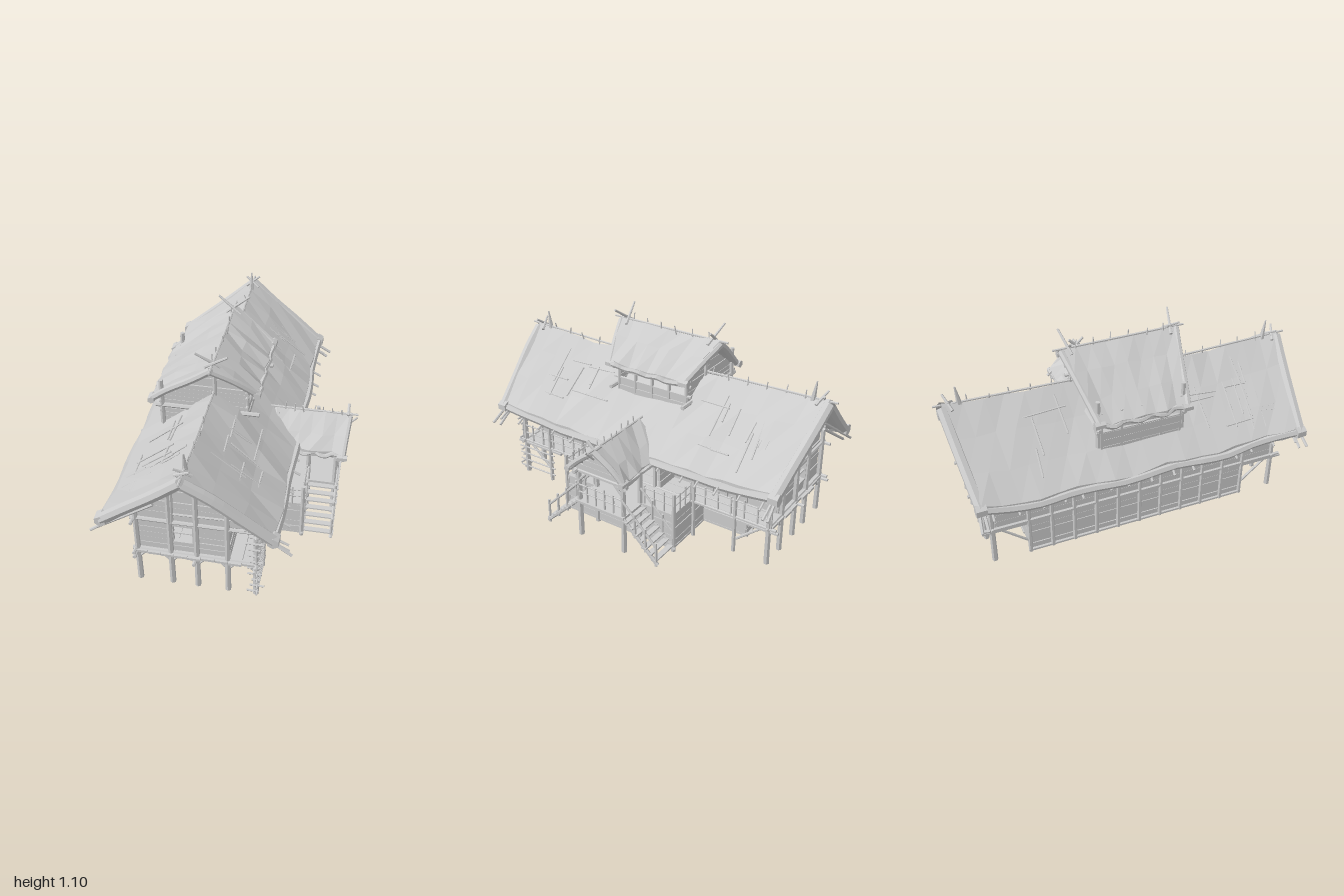
import * as THREE from 'three';

const mat = new THREE.MeshStandardMaterial({ color: 0xcccccc, flatShading: true });
const thatchMat = new THREE.MeshStandardMaterial({ color: 0xcccccc, flatShading: true, side: THREE.DoubleSide });
const V = (x, y, z) => new THREE.Vector3(x, y, z);
let seed = 7;
const rnd = () => (seed = (seed * 16807) % 2147483647) / 2147483647;
const jit = (a) => (rnd() * 2 - 1) * a;

function group(name, parent) {
  const g = new THREE.Group();
  g.name = name;
  parent.add(g);
  return g;
}
function add(parent, name, geo, m = mat) {
  const mesh = new THREE.Mesh(geo, m);
  mesh.name = name;
  parent.add(mesh);
  return mesh;
}
// Box given by its min and max along each axis
function box(p, name, x0, x1, y0, y1, z0, z1) {
  const b = add(p, name, new THREE.BoxGeometry(x1 - x0, y1 - y0, z1 - z0));
  b.position.set((x0 + x1) / 2, (y0 + y1) / 2, (z0 + z1) / 2);
}
// Rough six-sided pole between two points
function pole(p, name, a, b, r, rEnd = r * 0.9) {
  const d = b.clone().sub(a);
  const s = add(p, name, new THREE.CylinderGeometry(rEnd, r, d.length(), 6));
  s.position.copy(a).add(b).multiplyScalar(0.5);
  s.quaternion.setFromUnitVectors(V(0, 1, 0), d.normalize());
}
// Height of a roof profile at x, and the x-span of the profile at height y
function roofY(prof, x) {
  for (let i = 1; i < prof.length; i++) if (x <= prof[i][0] || i === prof.length - 1) {
    const [a, b] = [prof[i - 1], prof[i]];
    return a[1] + (b[1] - a[1]) * (x - a[0]) / (b[0] - a[0]);
  }
}
function spanAt(prof, y) {
  const xs = [];
  for (let x = prof[0][0]; x <= prof[prof.length - 1][0]; x += 0.004) if (roofY(prof, x) > y) xs.push(x);
  return xs.length > 2 ? [xs[0], xs[xs.length - 1]] : null;
}
// Horizontal planks; axis is the direction they run in, hole = [u0, u1, y0, y1], prof clips a gable
function planks(p, name, axis, at, u0, u1, y0, y1, { hole, prof, row = 0.044 } = {}) {
  const g = group(name, p), n = Math.max(1, Math.round((y1 - y0) / row)), h = (y1 - y0) / n;
  for (let k = 0; k < n; k++) {
    const yb = y0 + k * h, ym = yb + h / 2;
    let [a, b] = [u0, u1];
    if (prof) {
      const s = spanAt(prof, ym);
      if (!s) break;
      a = Math.max(a, s[0]); b = Math.min(b, s[1]);
    }
    const runs = hole && ym > hole[2] && ym < hole[3] ? [[a, hole[0]], [hole[1], b]] : [[a, b]];
    for (const [s, e] of runs) {
      const c = at + jit(0.003), args = [yb, yb + h - 0.002];
      if (axis === 'x') box(g, 'plank', s, e, ...args, c - 0.008, c + 0.008);
      else box(g, 'plank', c - 0.008, c + 0.008, ...args, s, e);
    }
  }
}
// Sagging thatch slab with rolled edges; ridge runs along z
function thatch(p, name, prof, ridgeHalf, eaveHalf, rise, thick, roll, { n = 14, horn = 0, pegs = 8 }) {
  const g = group(name, p), m = prof.length, top = Math.max(...prof.map((q) => q[1]));
  const r = prof.findIndex((q) => q[1] === top), xr = prof[r][0];
  const at = (i, t, wob = 0) => {
    const [x, y] = prof[i], far = i < r ? xr - prof[0][0] : prof[m - 1][0] - xr, e = Math.abs(x - xr) / far;
    const wave = e * Math.sin(t * 11 + i) * 0.007;
    return V(x + wave + jit(wob), y + rise * t ** 4 + wave + jit(wob), t * (ridgeHalf + (eaveHalf - ridgeHalf) * e));
  };
  const pos = [], idx = [], N = m * (n + 1), id = (i, j) => i * (n + 1) + j;
  for (let i = 0; i < m; i++) for (let j = 0; j <= n; j++) pos.push(...at(i, j / n * 2 - 1, 0.007));
  for (let k = 0; k < N; k++) pos.push(pos[3 * k], pos[3 * k + 1] - thick, pos[3 * k + 2]);
  const quad = (a, b, c, d) => idx.push(a, b, c, a, c, d);
  for (let i = 0; i < m - 1; i++) {
    for (let j = 0; j < n; j++) {
      const [a, b, c, d] = [id(i, j), id(i, j + 1), id(i + 1, j + 1), id(i + 1, j)];
      quad(a, b, c, d);
      quad(a + N, d + N, c + N, b + N);
    }
    quad(id(i, 0), id(i + 1, 0), id(i + 1, 0) + N, id(i, 0) + N);
    quad(id(i + 1, n), id(i, n), id(i, n) + N, id(i + 1, n) + N);
  }
  for (let j = 0; j < n; j++) {
    quad(id(0, j + 1), id(0, j), id(0, j) + N, id(0, j + 1) + N);
    quad(id(m - 1, j), id(m - 1, j + 1), id(m - 1, j + 1) + N, id(m - 1, j) + N);
  }
  const geo = new THREE.BufferGeometry();
  geo.setAttribute('position', new THREE.Float32BufferAttribute(pos, 3));
  geo.setIndex(idx);
  geo.computeVertexNormals();
  add(g, 'thatchSlab', geo, thatchMat);
  const drop = V(0, -thick * 0.55, 0);
  for (const t of [-1, 1]) for (const side of [0, m - 1]) {
    const pts = [];
    for (let i = r; side ? i <= side : i >= side; i += side ? 1 : -1) pts.push(at(i, t, 0.004).add(drop));
    add(g, 'gableRoll', new THREE.TubeGeometry(new THREE.CatmullRomCurve3(pts), 10, roll, 7), thatchMat);
    const end = pts[pts.length - 1];
    pole(g, 'rollEnd', end.clone().add(V(0, 0, -0.03)), end.clone().add(V(0, 0, 0.025)), roll * 1.15, roll * 1.05);
  }
  for (const i of [0, m - 1]) {
    const pts = [];
    for (let j = 0; j <= 12; j++) pts.push(at(i, j / 6 - 1, 0.003).add(drop));
    add(g, 'eaveRoll', new THREE.TubeGeometry(new THREE.CatmullRomCurve3(pts), 24, roll * 0.75, 6), thatchMat);
  }
  // Ridge pole, pegs and crossed horns
  const yEnd = top + rise;
  for (const t of [-1, 1]) {
    pole(g, 'ridgePole', V(xr, top + 0.004, 0), V(xr, yEnd - 0.005, t * (ridgeHalf + 0.045)), 0.007);
    if (horn) for (const s of [-1, 1]) {
      const z = t * (ridgeHalf - 0.05 + s * 0.006);
      pole(g, 'horn', V(xr - s * 0.04, yEnd - 0.025, z), V(xr + s * horn, yEnd + horn * 0.75, z + t * 0.03), 0.009, 0.006);
    }
  }
  for (let k = 0; k < pegs; k++) {
    const t = ((k + 0.5) / pegs * 2 - 1) * 0.92, y = top + rise * t ** 4;
    pole(g, 'ridgePeg', V(xr + jit(0.01), y - 0.02, t * ridgeHalf), V(xr + jit(0.02), y + 0.03 + rnd() * 0.015, t * ridgeHalf + jit(0.01)), 0.005, 0.003);
  }
  return g;
}
function railing(p, a, b, n, h = 0.1) {
  const g = group('railing', p), up = (q, y) => q.clone().add(V(0, y, 0));
  for (const y of [h, h * 0.55]) pole(g, 'rail', up(a, y), up(b, y + jit(0.004)), 0.005);
  for (let i = 0; i <= n; i++) {
    const q = a.clone().lerp(b, i / n);
    pole(g, 'baluster', q, up(q, h + 0.015 + jit(0.008)), 0.006);
  }
}

export function createModel() {
  seed = 7;
  const model = new THREE.Group();
  model.name = 'thatchedStiltHouse';
  const main = [[-0.555, 0.485], [-0.42, 0.595], [-0.27, 0.715], [-0.13, 0.835], [0, 0.735], [0.15, 0.61], [0.3, 0.49]];
  const upper = [[-0.465, 0.775], [-0.36, 0.86], [-0.24, 0.95], [-0.125, 1.035], [-0.02, 0.965], [0.105, 0.87]];
  const small = [[-0.17, 0.465], [-0.1, 0.53], [0, 0.61], [0.1, 0.53], [0.17, 0.465]];
  const under = (prof, d) => prof.map(([x, y]) => [x, y - d]);

  // Roofs
  thatch(model, 'mainRoof', main, 0.95, 0.89, 0.035, 0.05, 0.03, { n: 18, horn: 0.04, pegs: 16 });
  thatch(model, 'upperRoof', upper, 0.32, 0.24, 0.01, 0.035, 0.019, { n: 8, horn: 0.085, pegs: 6 });
  const porchRoof = thatch(model, 'porchRoof', small, 0.2, 0.185, 0.01, 0.035, 0.016, { n: 6, pegs: 7 });
  porchRoof.rotation.y = Math.PI / 2;
  porchRoof.position.x = 0.375;

  // Loose battens on the main roof, rafter stubs under its eaves
  const battens = group('roofBattens', model);
  for (let k = 0; k < 44; k++) {
    const x = k % 2 ? -0.46 + rnd() * 0.24 : 0 + rnd() * 0.22, t = rnd() < 0.5 ? -1 : 1;
    const z = t * (0.36 + rnd() * 0.42), along = k % 3 === 0, l = 0.05 + rnd() * 0.08;
    const ends = [-1, 1].map((s) => {
      const xe = x + (along ? jit(0.008) : s * l * 0.8), ze = z + (along ? s * l : jit(0.01));
      return V(xe, roofY(main, xe) + 0.009, ze);
    });
    pole(battens, 'batten', ends[0], ends[1], 0.005);
  }
  for (let k = 0; k <= 14; k++) {
    const z = -0.84 + k * 0.12 + jit(0.02);
    if (Math.abs(z) > 0.2) pole(battens, 'rafterStub', V(0.2, 0.52, z), V(0.35 + jit(0.02), 0.44, z), 0.007);
    pole(battens, 'rafterStub', V(-0.45, 0.52, z), V(-0.575 + jit(0.012), 0.43, z), 0.007);
  }
  for (const t of [-1, 1]) {
    for (const d of [0, 0.035]) {
      pole(battens, 'gableRafter', V(-0.3, 0.64 - d, t * 0.87), V(-0.62 + d / 2, 0.415 - d / 3, t * (0.91 - d)), 0.009);
      pole(battens, 'gableRafter', V(0.1, 0.6 - d, t * 0.87), V(0.385 - d / 2, 0.415 - d / 3, t * (0.9 - d)), 0.009);
    }
    pole(battens, 'hornPeg', V(-0.13, 0.84, t * 0.86), V(-0.13, 0.955, t * 0.875), 0.016, 0.004);
  }

  // Floors
  const floors = group('floors', model);
  for (let k = 0; k < 9; k++) {
    const x = -0.43 + k * 0.07;
    if (k < 7) box(floors, 'groundBoard', x, x + 0.068, 0.02, 0.032, -0.63 + jit(0.006), 0.63 + jit(0.006));
    box(floors, 'upperBoard', x, x + 0.068, 0.228, 0.242, -0.85 + jit(0.01), 0.85 + jit(0.01));
  }
  box(floors, 'porchBase', 0.06, 0.38, 0.02, 0.032, -0.36, 0.36);
  box(floors, 'porchFloor', 0.2, 0.38, 0.228, 0.242, -0.36, 0.36);
  box(floors, 'landing', 0.38, 0.55, 0.228, 0.242, -0.16, 0.16);

  // Walls: lower storey, overhanging upper storey, porch base
  const walls = group('walls', model);
  planks(walls, 'backWall', 'z', -0.415, -0.63, 0.63, 0.03, 0.235);
  planks(walls, 'upperBackWall', 'z', -0.415, -0.8, 0.8, 0.24, 0.55);
  planks(walls, 'lowerVerandaWall', 'z', 0.05, -0.63, 0.63, 0.03, 0.228);
  planks(walls, 'porchBaseWall', 'z', 0.37, -0.36, 0.36, 0.03, 0.228);
  planks(walls, 'verandaWall', 'z', 0.055, -0.8, 0.8, 0.24, 0.62, { hole: [-0.07, 0.07, 0.24, 0.42] });
  planks(walls, 'partition', 'x', 0, -0.41, 0.05, 0.24, 0.6);
  for (const t of [-1, 1]) {
    planks(walls, 'lowerEndWall', 'x', t * 0.62, -0.42, 0.06, 0.03, 0.228);
    planks(walls, 'gableWall', 'x', t * 0.8, -0.42, 0.06, 0.24, 0.8, { hole: [-0.23, -0.12, 0.315, 0.43], prof: under(main, 0.024), row: 0.037 });
    planks(walls, 'verandaGable', 'x', t * 0.8, 0.06, 0.29, 0.455, 0.65, { prof: under(main, 0.024), row: 0.037 });
    planks(walls, 'porchSideWall', 'x', t * 0.35, 0.06, 0.38, 0.03, 0.228);
    planks(walls, 'entranceSideWall', 'x', t * 0.15, 0.06, 0.2, 0.24, 0.5);
    planks(walls, 'upperGable', 'x', t * 0.22, -0.42, 0.05, 0.56, 1.03, { prof: under(upper, 0.018), row: 0.028 });
    // Window frame with a loose slat
    const f = group('windowFrame', walls), z0 = t * 0.81 - 0.012, z1 = t * 0.81 + 0.012;
    for (const x of [-0.235, -0.125]) box(f, 'jamb', x, x + 0.012, 0.305, 0.435, z0, z1);
    for (const y of [0.305, 0.423]) box(f, 'sill', -0.245, -0.105, y, y + 0.012, z0, z1);
    box(f, 'slat', -0.23, -0.12, 0.37, 0.376, z0 + 0.006, z1 - 0.006);
    // Studs and jambs along the veranda
    for (const z of [0.3, 0.41, 0.5, 0.62]) box(walls, 'verandaStud', 0.06, 0.075, 0.24, 0.45, t * z - 0.009, t * z + 0.009);
    box(walls, 'doorLintel', 0.06, 0.075, 0.4, 0.415, t * 0.455 - 0.06, t * 0.455 + 0.06);
    box(walls, 'doorJamb', 0.045, 0.08, 0.24, 0.43, t * 0.078 - 0.01, t * 0.078 + 0.01);
  }

  // Dormer side frames with open windows
  const frame = group('upperFrame', model);
  for (const [x, y0, y1] of [[0.045, 0.64, 0.88], [-0.42, 0.56, 0.81]]) {
    planks(frame, 'apron', 'z', x, -0.22, 0.22, y0, y1 - 0.12);
    for (const z of [-0.22, -0.11, 0, 0.11, 0.22]) pole(frame, 'post', V(x, y0, z), V(x, y1, z), 0.011);
    for (const y of [y1 - 0.12, y1 - 0.06, y1 - 0.025]) pole(frame, 'rail', V(x, y, -0.25), V(x, y, 0.25), 0.009);
  }
  for (const t of [-1, 1]) {
    pole(frame, 'cornerPost', V(-0.415, 0.6, t * 0.235), V(-0.415, 0.88, t * 0.235), 0.014);
    pole(frame, 'crossBeam', V(-0.45, 0.72, t * 0.235), V(0.11, 0.72, t * 0.235), 0.013);
    pole(frame, 'kingPost', V(-0.125, 0.8, t * 0.235), V(-0.125, 1.01, t * 0.235), 0.012);
  }

  // Timber frame of the two gable ends
  const timber = group('timberFrame', model);
  for (const t of [-1, 1]) {
    const z = t * 0.825, xs = [-0.415, -0.24, -0.105, 0.055, 0.2];
    xs.forEach((x, i) => {
      pole(timber, 'stiltPost', V(x, 0.02, z), V(x + jit(0.004), roofY(main, x) - 0.04, z), 0.016, 0.013);
      for (const s of [-1, 1]) if (i + s >= 0 && i + s < 5) pole(timber, 'brace', V(x, 0.175, z), V(x + s * 0.055, 0.235, z), 0.007);
    });
    for (const y of [0.24, 0.455]) pole(timber, 'crossBeam', V(-0.44, y, z), V(0.23, y, z), 0.011);
    for (const x of [-0.42, -0.11, 0.2]) {
      pole(timber, 'floorBeam', V(x, 0.222, t * 0.55), V(x, 0.222, t * 0.88), 0.011);
      pole(timber, 'underBrace', V(x, 0.1, t * 0.64), V(x, 0.22, t * 0.78), 0.008);
    }
    pole(timber, 'hangingPole', V(-0.225, 0.45, z), V(-0.22, 0.66, z), 0.009);
    pole(timber, 'hangingRail', V(-0.25, 0.51, z), V(0.13, 0.52, z), 0.006);
  }
  // Rungs lashed to the front corner post
  for (let k = 0; k < 11; k++) pole(timber, 'rung', V(0.16 + jit(0.02), 0.05 + k * 0.043, 0.84), V(0.23 + jit(0.015), 0.05 + k * 0.043, 0.84), 0.006);
  for (let k = 0; k < 4; k++) pole(timber, 'sideRung', V(0.21, 0.06 + k * 0.045, 0.6), V(0.21, 0.055 + k * 0.045, 0.87), 0.005);
  // Posts along the long sides
  for (let k = 0; k <= 10; k++) {
    const z = -0.63 + k * 0.126;
    pole(timber, 'wallPost', V(-0.425, 0.02, z), V(-0.425, 0.54, z), 0.012);
    if (k % 2 === 0) pole(timber, 'verandaPost', V(0.205, 0.02, z), V(0.205, 0.54, z), 0.012);
  }
  for (const y of [0.03, 0.24, 0.45]) {
    const half = y > 0.1 ? 0.87 : 0.64;
    pole(timber, 'longBeam', V(-0.425, y, -half), V(-0.425, y, half), 0.01);
    if (y > 0.1) pole(timber, 'verandaBeam', V(0.205, y, -half), V(0.205, y, half), 0.01);
  }

  // Porch: railings, posts, gable and two flights of stairs
  const porch = group('porch', model);
  for (const t of [-1, 1]) {
    railing(porch, V(0.205, 0.24, t * 0.37), V(0.205, 0.24, t * 0.84), 6);
    railing(porch, V(0.21, 0.24, t * 0.36), V(0.37, 0.24, t * 0.36), 3);
    railing(porch, V(0.37, 0.24, t * 0.17), V(0.37, 0.24, t * 0.36), 3);
    for (const x of [0.375, 0.525]) pole(porch, 'porchPost', V(x, 0.01, t * 0.145), V(x, 0.46, t * 0.145), 0.016, 0.014);
    pole(porch, 'basePost', V(0.375, 0.01, t * 0.36), V(0.375, 0.37, t * 0.36), 0.013);
    pole(porch, 'porchBeam', V(0.2, 0.43, t * 0.145), V(0.57, 0.43, t * 0.145), 0.013);
    pole(porch, 'gableRafter', V(0.565, 0.43, t * 0.19), V(0.565, 0.65, t * -0.045), 0.01);
    pole(porch, 'endBrace', V(0.53, 0.36, t * 0.145), V(0.53, 0.43, t * 0.08), 0.008);
    for (const x of [0.38, 0.54]) {
      pole(porch, 'stringer', V(x, 0.025, t * 0.37), V(x, 0.235, t * 0.15), 0.011);
      pole(porch, 'handrail', V(x, 0.13, t * 0.36), V(x, 0.345, t * 0.145), 0.007);
      for (const s of [0.05, 0.35, 0.65]) {
        const y = 0.025 + 0.21 * s, z = t * (0.37 - 0.22 * s);
        pole(porch, 'stairPost', V(x, y - 0.02, z), V(x, y + 0.125, z), 0.008);
      }
    }
    for (let k = 0; k < 7; k++) {
      const z = t * (0.35 - k * 0.03), y = 0.045 + k * 0.0285;
      box(porch, 'tread', 0.365 + jit(0.004), 0.55 + jit(0.004), y, y + 0.008, z - 0.015, z + 0.015);
    }
  }
  railing(porch, V(0.535, 0.24, -0.145), V(0.535, 0.24, 0.145), 5);
  pole(porch, 'tieBeam', V(0.535, 0.43, -0.18), V(0.535, 0.43, 0.18), 0.013);
  pole(porch, 'ridgeStrut', V(0.55, 0.54, 0.02), V(0.615, 0.61, 0.02), 0.006);
  for (let k = 0; k < 4; k++) {
    const w = 0.14 - k * 0.037, y = 0.44 + k * 0.034;
    box(porch, 'gablePlank', 0.525, 0.538, y, y + 0.032, -w, w);
  }
  return model;
}
